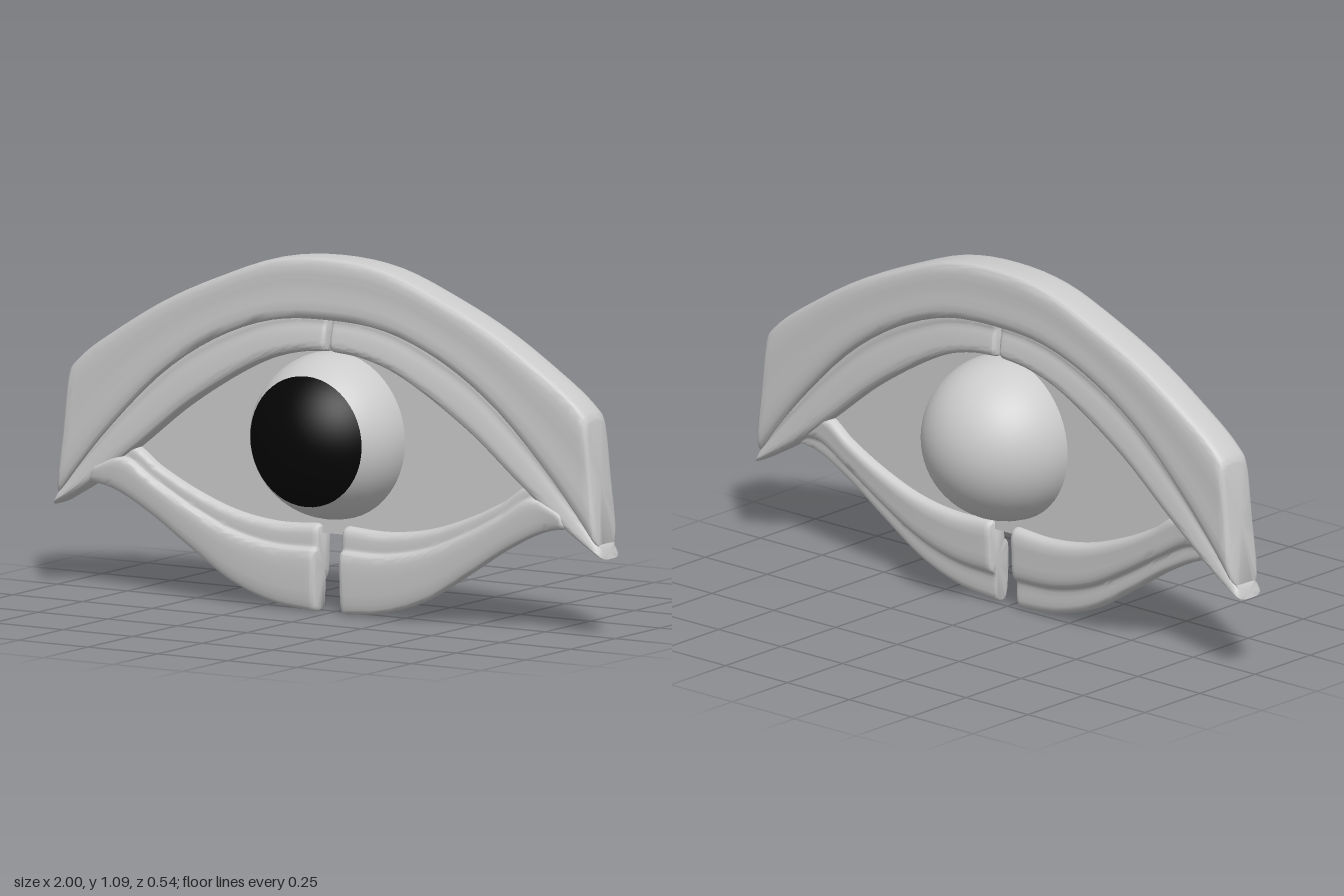
import * as THREE from 'three';
import { toCreasedNormals } from 'three/addons/utils/BufferGeometryUtils.js';

const grey = new THREE.MeshStandardMaterial({ color: 0xcccccc });
const black = new THREE.MeshStandardMaterial({ color: 0x050505 });
const sheetGrey = new THREE.MeshStandardMaterial({ color: 0xcccccc, side: THREE.DoubleSide });

const spline = (pts) => new THREE.CatmullRomCurve3(pts.map(([x, y]) => new THREE.Vector3(x, y, 0)));
const mirror = (pts) => pts.map(([x, y]) => [-x, y]).reverse();

// Sweeps a closed section between a lower and an upper edge curve, x ascending.
// Section points are [t, z]: t runs 0 (lower edge) to 1 (upper edge), going up the front, down the back.
function loft(lower, upper, section, round = 0.03) {
  const B = spline(lower), T = spline(upper);
  const loop = new THREE.CatmullRomCurve3(
    section.map(([t, z]) => new THREE.Vector3(0, t, z)), true, 'centripetal').getPoints(48).slice(0, -1);
  const ends = [0, 0.08, 0.25, 0.5, 0.75].map((k) => k * round);
  const us = [...ends];
  const N = 44;
  for (let i = 0; i <= N; i++) us.push(round + (1 - 2 * round) * i / N);
  us.push(...ends.map((e) => 1 - e).reverse());

  const pos = [], idx = [], n = loop.length;
  for (const u of us) {
    const b = B.getPoint(u), t = T.getPoint(u);
    const k = Math.min(1, Math.min(u, 1 - u) / round);
    const s = 0.72 + 0.28 * Math.sqrt(1 - (1 - k) ** 2);   // softened ends
    const st = 0.93 + 0.07 * Math.sqrt(1 - (1 - k) ** 2);
    for (const p of loop) {
      const q = b.clone().lerp(t, 0.5 + (p.y - 0.5) * st);
      pos.push(q.x, q.y, p.z * s);
    }
  }
  for (let i = 0; i < us.length - 1; i++) for (let j = 0; j < n; j++) {
    const a = i * n + j, d = i * n + (j + 1) % n;
    idx.push(a, a + n, d + n, a, d + n, d);
  }
  // flat caps
  const last = (us.length - 1) * n;
  for (const [base, u, flip] of [[0, 0, false], [last, 1, true]]) {
    const c = B.getPoint(u).lerp(T.getPoint(u), 0.5), ci = pos.length / 3;
    pos.push(c.x, c.y, 0);
    for (let j = 0; j < n; j++) {
      const a = base + j, d = base + (j + 1) % n;
      if (flip) idx.push(ci, d, a); else idx.push(ci, a, d);
    }
  }
  const g = new THREE.BufferGeometry();
  g.setAttribute('position', new THREE.Float32BufferAttribute(pos, 3));
  g.setIndex(idx);
  return toCreasedNormals(g, 0.75);
}

export function createModel() {
  const model = new THREE.Group();
  const frame = new THREE.Group();
  frame.name = 'eyeFrame';
  frame.rotation.y = -0.02;
  model.add(frame);
  const add = (parent, name, geometry, material = grey) => {
    const m = new THREE.Mesh(geometry, material);
    m.name = name;
    parent.add(m);
  };

  // Brow: one thick arch with slanted ends
  const browLow = [[0, 0.9], [0.2, 0.885], [0.4, 0.815], [0.6, 0.69], [0.8, 0.5], [0.91, 0.375], [0.985, 0.28]];
  const browTop = [[0, 1.09], [0.2, 1.07], [0.4, 1.0], [0.6, 0.91], [0.8, 0.79], [0.88, 0.735], [0.94, 0.68]];
  const whole = (pts) => [...mirror(pts).slice(0, -1), ...pts];
  const browSection = [[0, 0.02], [0, 0.045], [0.04, 0.058], [0.5, 0.058], [0.93, 0.054], [0.985, 0.042], [1, 0.015],
    [1, -0.03], [0.98, -0.053], [0.92, -0.064], [0.5, -0.067], [0.1, -0.066], [0.02, -0.05], [0, -0.03]];
  add(frame, 'brow', loft(whole(browLow), whole(browTop), browSection, 0.025));

  // Upper lids: pair of bands under the brow meeting at a narrow slit
  const upLow = [[0.008, 0.802], [0.12, 0.79], [0.25, 0.75], [0.5, 0.605], [0.7, 0.45], [0.87, 0.325], [1, 0.25]];
  const upTop = [[0.008, 0.915], [0.12, 0.91], [0.25, 0.885], [0.5, 0.775], [0.7, 0.615], [0.87, 0.435], [0.985, 0.295]];
  const upSection = [[0, 0.02], [0.03, 0.042], [0.14, 0.054], [0.4, 0.053], [0.75, 0.042], [1, 0.025],
    [1, -0.03], [0.75, -0.042], [0.4, -0.05], [0.14, -0.05], [0.03, -0.038], [0, -0.015]];

  // Lower lids: bands with a recessed inner rim on the front and a step on the back
  const lowLow = [[0.043, 0.003], [0.2, 0.02], [0.35, 0.07], [0.5, 0.16], [0.65, 0.255], [0.78, 0.317], [0.87, 0.335]];
  const lowTop = [[0.043, 0.272], [0.2, 0.266], [0.35, 0.287], [0.5, 0.338], [0.62, 0.395], [0.73, 0.458], [0.84, 0.4]];
  const lowSection = [[0, 0.025], [0.01, 0.042], [0.07, 0.052], [0.35, 0.06], [0.65, 0.06], [0.71, 0.053], [0.735, 0.042],
    [0.8, 0.04], [0.96, 0.034], [1, 0.015], [1, -0.015], [0.95, -0.035], [0.7, -0.037], [0.45, -0.032],
    [0.38, -0.022], [0.35, -0.01], [0.2, -0.006], [0.04, 0.002]];

  for (const [side, f] of [['left', (p) => p], ['right', mirror]]) {
    add(frame, side + 'UpperLid', loft(f(upLow), f(upTop), upSection, 0.02));
    add(frame, side + 'LowerLid', loft(f(lowLow), f(lowTop), lowSection, 0.02));
  }

  // Thin sheet filling the eye opening
  const v = (pts) => pts.map(([x, y]) => new THREE.Vector2(x, y));
  const top = [[0, 0.85], [0.25, 0.8], [0.5, 0.66], [0.7, 0.5], [0.83, 0.385]];
  const bottom = [[0, 0.243], [0.2, 0.248], [0.4, 0.275], [0.6, 0.34], [0.83, 0.385]];
  const shape = new THREE.Shape();
  shape.moveTo(-0.83, 0.385);
  shape.splineThru(v(whole(bottom).slice(1)));
  shape.splineThru(v(whole(top).reverse().slice(1)));
  const sheet = new THREE.ExtrudeGeometry(shape, { depth: 0.02, bevelEnabled: false, curveSegments: 10 });
  sheet.translate(0, 0, -0.01);
  add(frame, 'eyeSheet', sheet, sheetGrey);

  // Eyeball with a black front cap
  const eye = new THREE.Group();
  eye.name = 'eye';
  eye.position.y = 0.545;
  eye.scale.set(0.257, 0.257, 0.27);
  model.add(eye);
  const cap = 0.89;
  const ball = (from, length) => new THREE.SphereGeometry(1, 48, 32, 0, Math.PI * 2, from, length).rotateX(Math.PI / 2);
  add(eye, 'eyeball', ball(cap, Math.PI - cap));
  add(eye, 'iris', ball(0, cap), black);
  return model;
}
